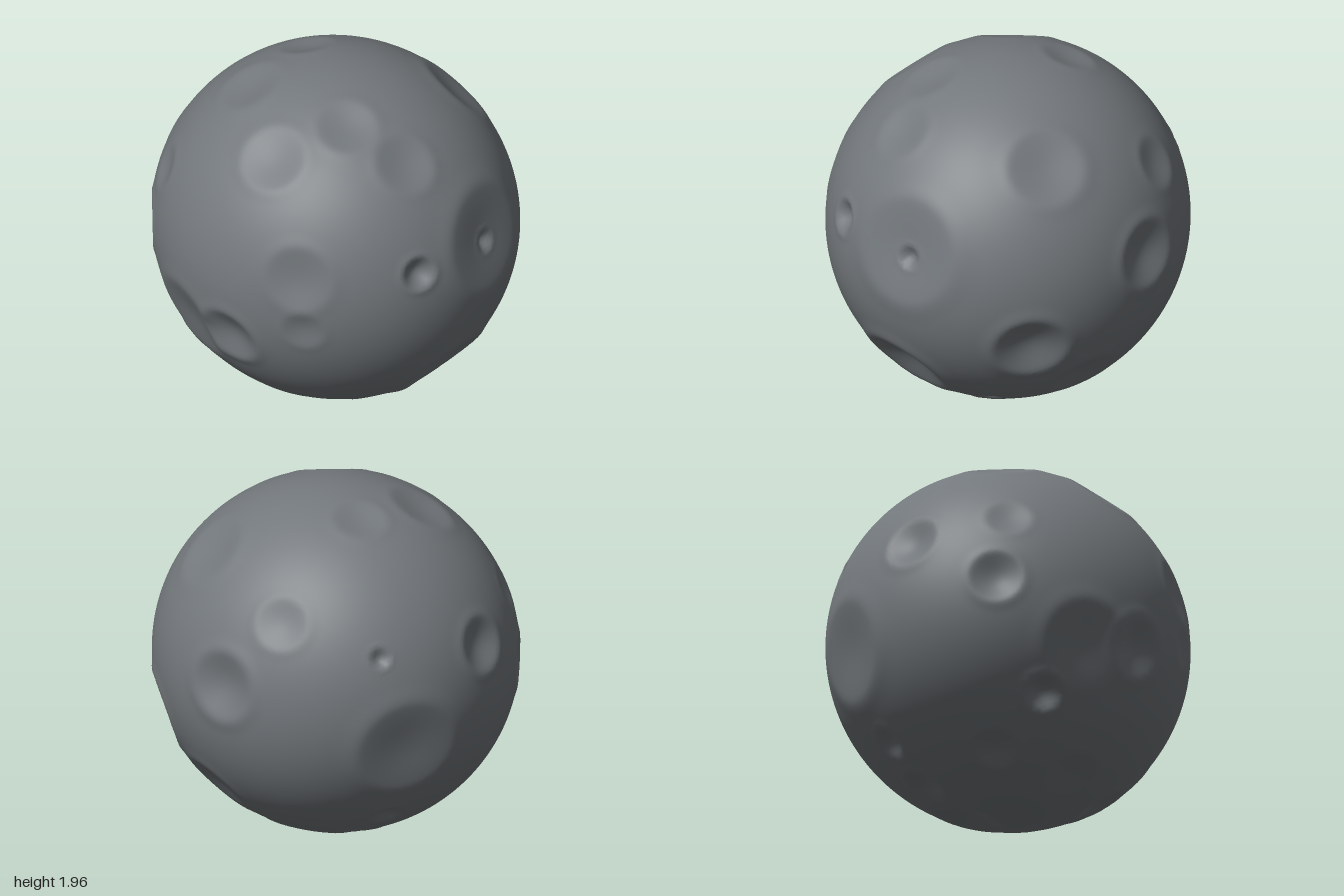
import * as THREE from 'three';
import { mergeVertices } from 'three/addons/utils/BufferGeometryUtils.js';

// Body half-sizes; the body rests on y = 0
const RADII = new THREE.Vector3(1, 0.978, 0.97);

// Crater kinds: depth as a share of the radius, and [longitude from front, latitude, radius] spots
const KINDS = [
  {
    // wide, shallow dents
    depth: 0.16,
    spots: [
      [20, 13, 0.19], [-26, -20, 0.25], [22, -5, 0.12], [-53, 22, 0.13],
      [91, 13, 0.31], [-121, 69, 0.15], [-57, 62, 0.19], [0, 50, 0.19],
      [67, 48, 0.17], [41, 65, 0.17], [145, 44, 0.22], [-119, -12, 0.29],
      [-163, 30, 0.15], [159, -40, 0.2], [-4, -63, 0.16],
    ],
  },
  {
    // round bowls
    depth: 0.3,
    spots: [
      [-5, -16, 0.18], [-57, -1, 0.15], [81, -39, 0.25], [135, -18, 0.21],
      [178, 6, 0.2], [-87, 16, 0.16], [180, -74, 0.2], [-130, -62, 0.12],
      [58, -57, 0.14], [-120, -45, 0.1], [-61, -58, 0.13],
    ],
  },
  {
    // small, steep pits
    depth: 0.55,
    spots: [
      [-39, -38, 0.11], [60, 13, 0.1], [92, 11, 0.07], [-128, 20, 0.06], [117, -55, 0.08],
    ],
  },
];

// Unit direction of a spot
function direction(longitude, latitude) {
  const polar = THREE.MathUtils.degToRad(90 - latitude);
  return new THREE.Vector3().setFromSphericalCoords(1, polar, THREE.MathUtils.degToRad(longitude));
}

// Bowl with a soft raised rim; t is the distance over the crater radius
function craterOffset(t, depth) {
  const bowl = t < 1 ? -depth * (1 - t * t) ** 1.5 : 0;
  const rim = 0.1 * depth * Math.exp(-(((t - 1.08) / 0.2) ** 2));
  return bowl + rim;
}

function crateredGeometry() {
  const craters = KINDS.flatMap(({ depth, spots }) =>
    spots.map(([longitude, latitude, radius]) => ({
      dir: direction(longitude, latitude), radius, depth: depth * radius,
    })));

  // Even sphere with shared vertices for smooth shading
  const sphere = new THREE.IcosahedronGeometry(1, 48);
  sphere.deleteAttribute('uv');
  sphere.deleteAttribute('normal');
  const geometry = mergeVertices(sphere, 1e-5);

  // Press every crater into the surface
  const position = geometry.attributes.position;
  const p = new THREE.Vector3();
  for (let i = 0; i < position.count; i++) {
    p.fromBufferAttribute(position, i);
    let r = 1;
    for (const { dir, radius, depth } of craters) {
      r += craterOffset(p.distanceTo(dir) / radius, depth);
    }
    p.multiplyScalar(r).multiply(RADII);
    position.setXYZ(i, p.x, p.y + RADII.y, p.z);
  }
  geometry.computeVertexNormals();
  return geometry;
}

export function createModel() {
  const group = new THREE.Group();
  const stone = new THREE.MeshStandardMaterial({ color: 0x73787c });
  stone.name = 'grey stone';

  const body = new THREE.Mesh(crateredGeometry(), stone);
  body.name = 'crateredBody';
  group.add(body);
  return group;
}
